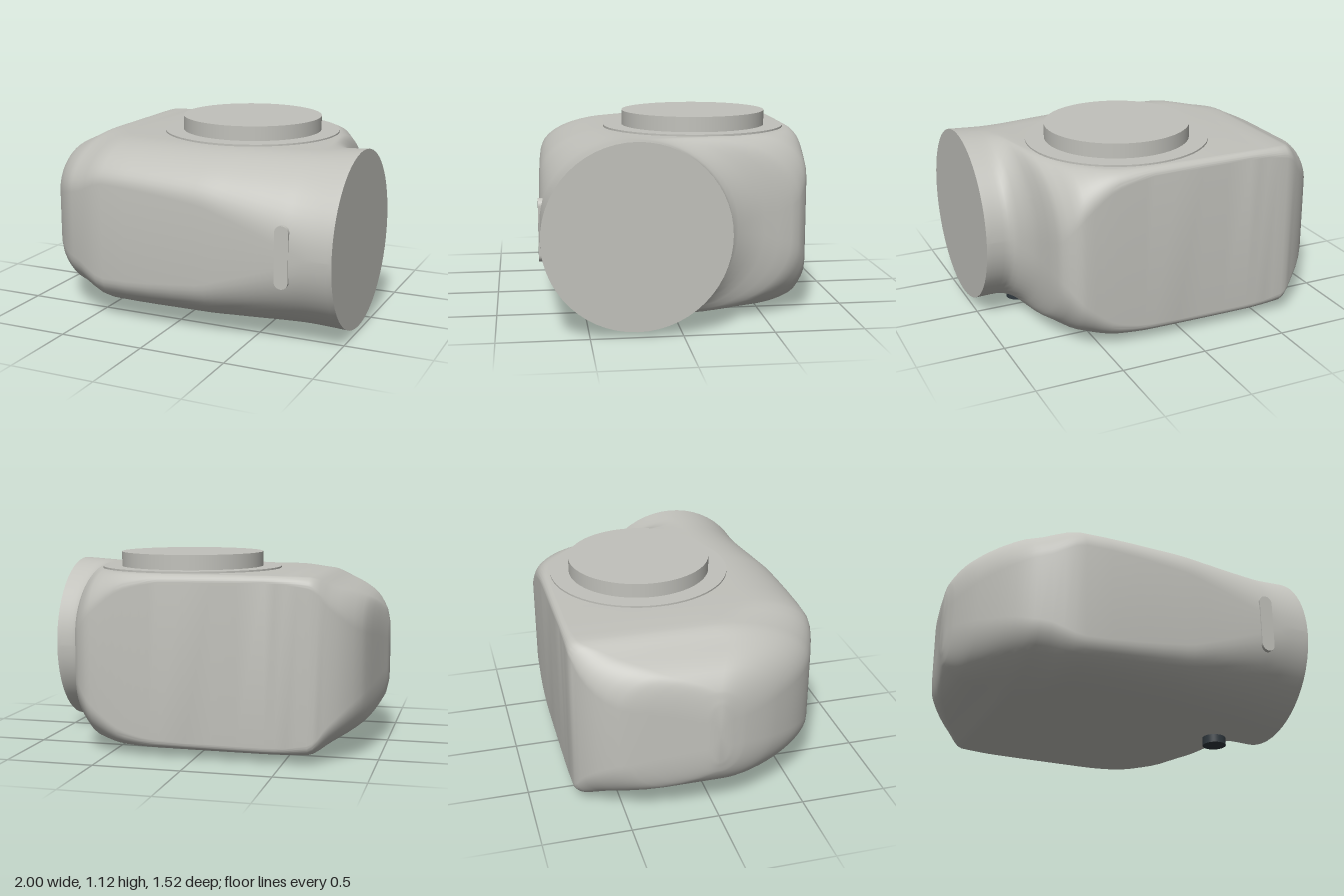
import * as THREE from 'three';
import { toCreasedNormals } from 'three/addons/utils/BufferGeometryUtils.js';

const MID_Y = 0.54;

// Key sections of the housing along x:
// x, back z, front z, top y, front corner (depth, height), back corner (depth, height)
const SECTIONS = [
  [-1.0, -0.05, 0.05, 0.72, 0.05, 0.1, 0.05, 0.1],
  [-0.98, -0.15, 0.15, 0.8, 0.15, 0.18, 0.13, 0.16],
  [-0.9, -0.54, 0.35, 0.9, 0.3, 0.24, 0.25, 0.18],
  [-0.75, -0.71, 0.56, 0.975, 0.45, 0.27, 0.16, 0.12],
  [-0.64, -0.757, 0.64, 1.025, 0.6, 0.29, 0.06, 0.06],
  [-0.4, -0.757, 0.715, 1.03, 0.42, 0.21, 0.04, 0.04],
  [0.2, -0.757, 0.74, 1.03, 0.42, 0.26, 0.05, 0.05],
  [0.4, -0.757, 0.745, 1.03, 0.44, 0.32, 0.09, 0.09],
  [0.6, -0.755, 0.75, 1.03, 0.47, 0.39, 0.3, 0.23],
  [0.71, -0.69, 0.752, 1.032, 0.49, 0.43, 0.54, 0.37],
  [0.78, -0.42, 0.753, 1.035, 0.5, 0.46, 0.58, 0.45],
  [0.87, -0.275, 0.755, 1.041, 0.508, 0.49, 0.51, 0.49],
  [1.0, -0.265, 0.755, 1.05, 0.51, 0.51, 0.51, 0.51],
];

// Slope of column c at key section i, limited so the curve never overshoots
function slope(i, c) {
  const rise = (k) => (SECTIONS[k + 1][c] - SECTIONS[k][c]) / (SECTIONS[k + 1][0] - SECTIONS[k][0]);
  if (i === 0) return rise(0);
  if (i === SECTIONS.length - 1) return rise(i - 1);
  const a = rise(i - 1), b = rise(i);
  return a * b > 0 ? (2 * a * b) / (a + b) : 0;
}

// Key sections with smooth in-between sections added
function smoothSections(parts) {
  const result = [];
  for (let i = 0; i < SECTIONS.length - 1; i++) {
    const p = SECTIONS[i], q = SECTIONS[i + 1], w = q[0] - p[0];
    for (let k = 0; k < parts; k++) {
      const t = k / parts, u = 1 - t;
      result.push(p.map((v, c) => c === 0 ? v + w * t
        : u * u * (1 + 2 * t) * v + t * t * (3 - 2 * t) * q[c]
          + w * t * u * (u * slope(i, c) - t * slope(i + 1, c))));
    }
  }
  result.push(SECTIONS[SECTIONS.length - 1]);
  return result;
}

// One closed section: four elliptical corners, top to front to bottom to back
function sectionPoints([x, back, front, top, fz, fy, bz, by], steps) {
  const points = [];
  const half = top - MID_Y;
  for (let q = 0; q < 4; q++) {
    const isFront = q < 2;
    const rz = isFront ? fz : bz;
    const ry = isFront ? fy : by;
    const cz = isFront ? front - rz : back + rz;
    const cy = MID_Y + (q === 0 || q === 3 ? 1 : -1) * (half - ry);
    for (let k = 0; k <= steps; k++) {
      const a = (q + k / steps) * Math.PI / 2;
      points.push([x, cy + ry * Math.cos(a), cz + rz * Math.sin(a)]);
    }
  }
  return points;
}

function housingGeometry() {
  const steps = 14;
  const ring = 4 * (steps + 1);
  const sections = smoothSections(4);
  const last = sections.length - 1;
  const points = sections.flatMap((s) => sectionPoints(s, steps));
  const leftCentre = points.length;
  for (const s of [sections[0], sections[last]]) points.push([s[0], MID_Y, (s[1] + s[2]) / 2]);
  const index = [];
  for (let j = 0; j < ring; j++) {
    const n = (j + 1) % ring;
    for (let i = 0; i < last; i++) {
      const a = i * ring + j, b = i * ring + n;
      index.push(a, b, a + ring, b, b + ring, a + ring);
    }
    index.push(leftCentre, n, j);
    index.push(leftCentre + 1, last * ring + j, last * ring + n);
  }
  const geometry = new THREE.BufferGeometry();
  geometry.setAttribute('position', new THREE.Float32BufferAttribute(points.flat(), 3));
  geometry.setIndex(index);
  return toCreasedNormals(geometry, 0.65);
}

// Upright slot-shaped insert
function slotGeometry(width, height, depth) {
  const r = width / 2, h = height / 2 - r;
  const shape = new THREE.Shape();
  shape.absarc(0, h, r, 0, Math.PI, false);
  shape.absarc(0, -h, r, Math.PI, Math.PI * 2, false);
  shape.closePath();
  return new THREE.ExtrudeGeometry(shape, { depth, bevelEnabled: false, curveSegments: 16 });
}

export function createModel() {
  const group = new THREE.Group();
  const grey = new THREE.MeshStandardMaterial({ color: 0xc1c1bb });
  grey.name = 'warm grey';
  const dark = new THREE.MeshStandardMaterial({ color: 0x30393f });
  dark.name = 'dark slate';

  const add = (name, geometry, material, x = 0, y = 0, z = 0) => {
    const mesh = new THREE.Mesh(geometry, material);
    mesh.name = name;
    mesh.position.set(x, y, z);
    group.add(mesh);
  };
  // Upright disc between two heights
  const disc = (name, r, y0, y1, x, z, material) =>
    add(name, new THREE.CylinderGeometry(r, r, y1 - y0, 64), material, x, (y0 + y1) / 2, z);

  add('housing', housingGeometry(), grey);

  // Turntable on top
  disc('mountingFlange', 0.53, 1.0, 1.04, 0.16, -0.17, grey);
  disc('mountingDisc', 0.42, 1.03, 1.125, 0.16, -0.17, grey);

  // Plug underneath and slot on the front
  disc('bottomPlug', 0.07, 0, 0.1, 0.705, 0.11, dark);
  add('frontSlot', slotGeometry(0.08, 0.35, 0.08), grey, 0.72, MID_Y, 0.678);

  return group;
}
